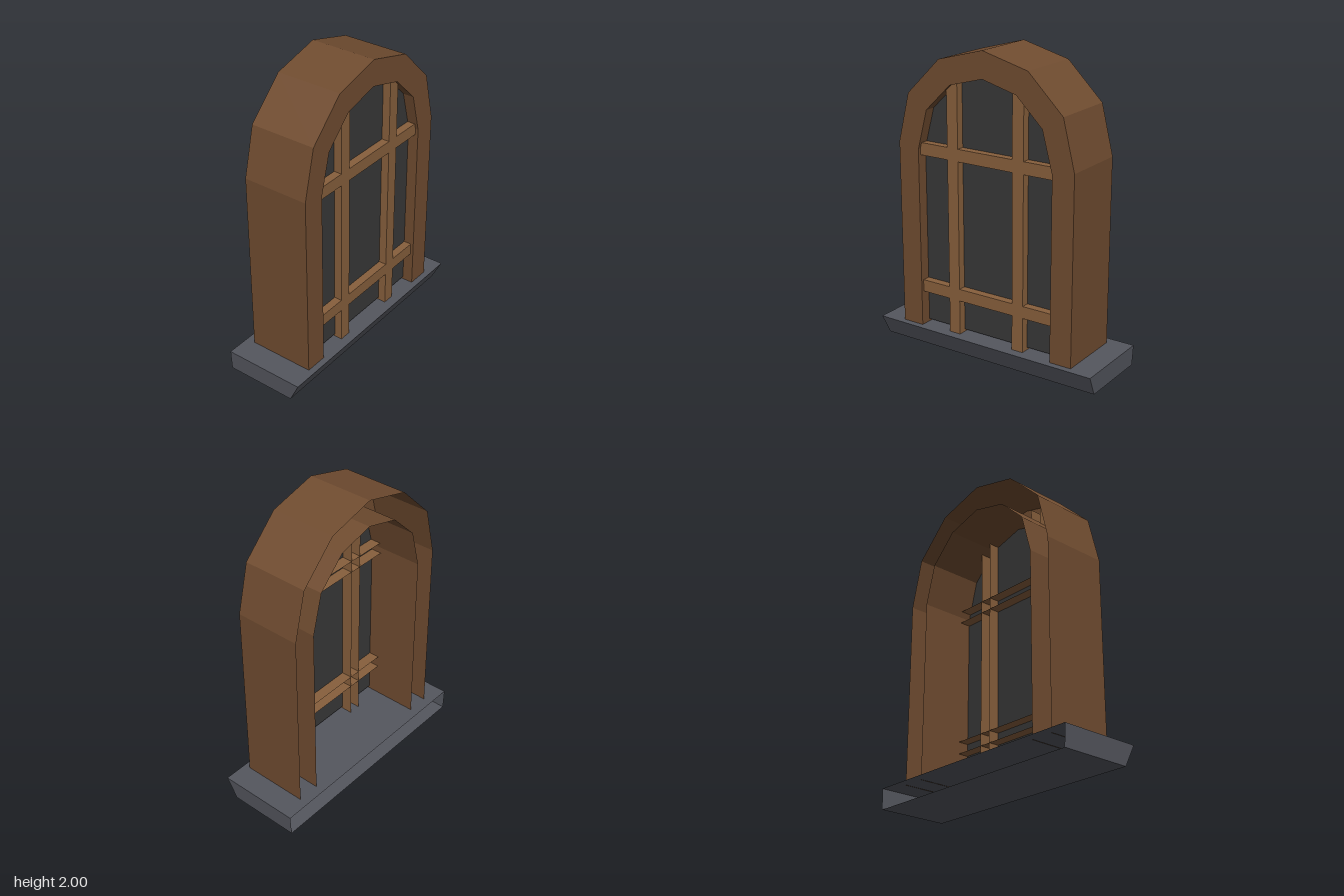
import * as THREE from 'three';

const mat = (color) => new THREE.MeshStandardMaterial({ color, flatShading: true, side: THREE.DoubleSide });
const wood = mat(0x704c30), lightWood = mat(0x875f3c), stone = mat(0x54565e), dark = mat(0x383838);

// Half arch (base to crown) mirrored into a full outline, left to right
const mirrorArch = (half) => [
  ...half.map(([x, y]) => [-x, y]),
  ...half.slice(0, -1).reverse(),
];
const outer = mirrorArch([[0.64, 0.135], [0.64, 1.36], [0.56, 1.68], [0.32, 1.915], [0, 2]]);
const inner = mirrorArch([[0.49, 0.135], [0.49, 1.33], [0.42, 1.59], [0.24, 1.765], [0, 1.83]]);
const pane = mirrorArch([[0.495, 0.153], [0.495, 1.33], [0.425, 1.595], [0.243, 1.77], [0, 1.835]]);

const shapeOf = (pts) => new THREE.Shape(pts.map(([x, y]) => new THREE.Vector2(x, y)));

// Open surface joining consecutive cross-sections of equal point count
function loft(sections) {
  const pos = [], index = [], n = sections[0].length;
  sections.forEach((s) => s.forEach((p) => pos.push(...p)));
  for (let i = 0; i < sections.length - 1; i++) {
    for (let j = 0; j < n - 1; j++) {
      const a = i * n + j, b = a + n;
      index.push(a, b, a + 1, a + 1, b, b + 1);
    }
  }
  const g = new THREE.BufferGeometry();
  g.setAttribute('position', new THREE.Float32BufferAttribute(pos, 3));
  g.setIndex(index);
  const flat = g.toNonIndexed();
  flat.computeVertexNormals();
  return flat;
}

export function createModel() {
  const root = new THREE.Group();
  const add = (name, geometry, material, parent = root) => {
    const mesh = new THREE.Mesh(geometry, material);
    mesh.name = name;
    parent.add(mesh);
    return mesh;
  };

  // Arched frame: front band plus outer and inner walls, open at the back
  const frame = new THREE.Group();
  frame.name = 'archedFrame';
  root.add(frame);
  const zFront = 0.23, zBack = -0.213;
  const band = shapeOf([...outer, ...inner.slice().reverse()]);
  add('frameFront', new THREE.ShapeGeometry(band), wood, frame).position.z = zFront;
  const at = (pts, z) => pts.map(([x, y]) => [x, y, z]);
  add('frameOuterWall', loft([at(outer, zBack), at(outer, zFront)]), wood, frame);
  add('frameInnerWall', loft([at(inner, zFront), at(inner, zBack)]), wood, frame);

  // Dark pane set just behind the bars
  add('windowPane', new THREE.ShapeGeometry(shapeOf(pane)), dark).position.z = 0.157;

  // Lattice bars: channels with a front and two sides, open at the back
  const barFront = 0.21, barBack = 0.083, w = 0.04;
  const profile = [[-w, barBack], [-w, barFront], [w, barFront], [w, barBack]];
  for (const side of [-1, 1]) {
    const section = (y) => profile.map(([d, z]) => [side * 0.24 + d, y, z]);
    add(side > 0 ? 'leftUprightBar' : 'rightUprightBar', loft([section(1.86), section(0.135)]), lightWood);
  }
  for (const [name, y] of [['lowerCrossBar', 0.408], ['upperCrossBar', 1.33]]) {
    const section = (x) => profile.map(([d, z]) => [x, y + d, z]);
    add(name, loft([section(-0.49), section(0.49)]), lightWood);
  }

  // Sill: top, sloping front, bottom and ends, open at the back
  const sill = new THREE.Group();
  sill.name = 'sill';
  root.add(sill);
  const sillSection = (s) => [
    [s * 0.8, 0.137, -0.273], [s * 0.8, 0.137, 0.273], [s * 0.793, 0, 0.205], [s * 0.793, 0, -0.273],
  ];
  add('sillBody', loft([sillSection(-1), sillSection(1)].reverse()), stone, sill);
  for (const s of [-1, 1]) {
    const [a, b, c, d] = sillSection(s);
    add(s > 0 ? 'leftSillEnd' : 'rightSillEnd', loft(s > 0 ? [[a, d], [b, c]] : [[b, c], [a, d]]), stone, sill);
  }
  return root;
}
